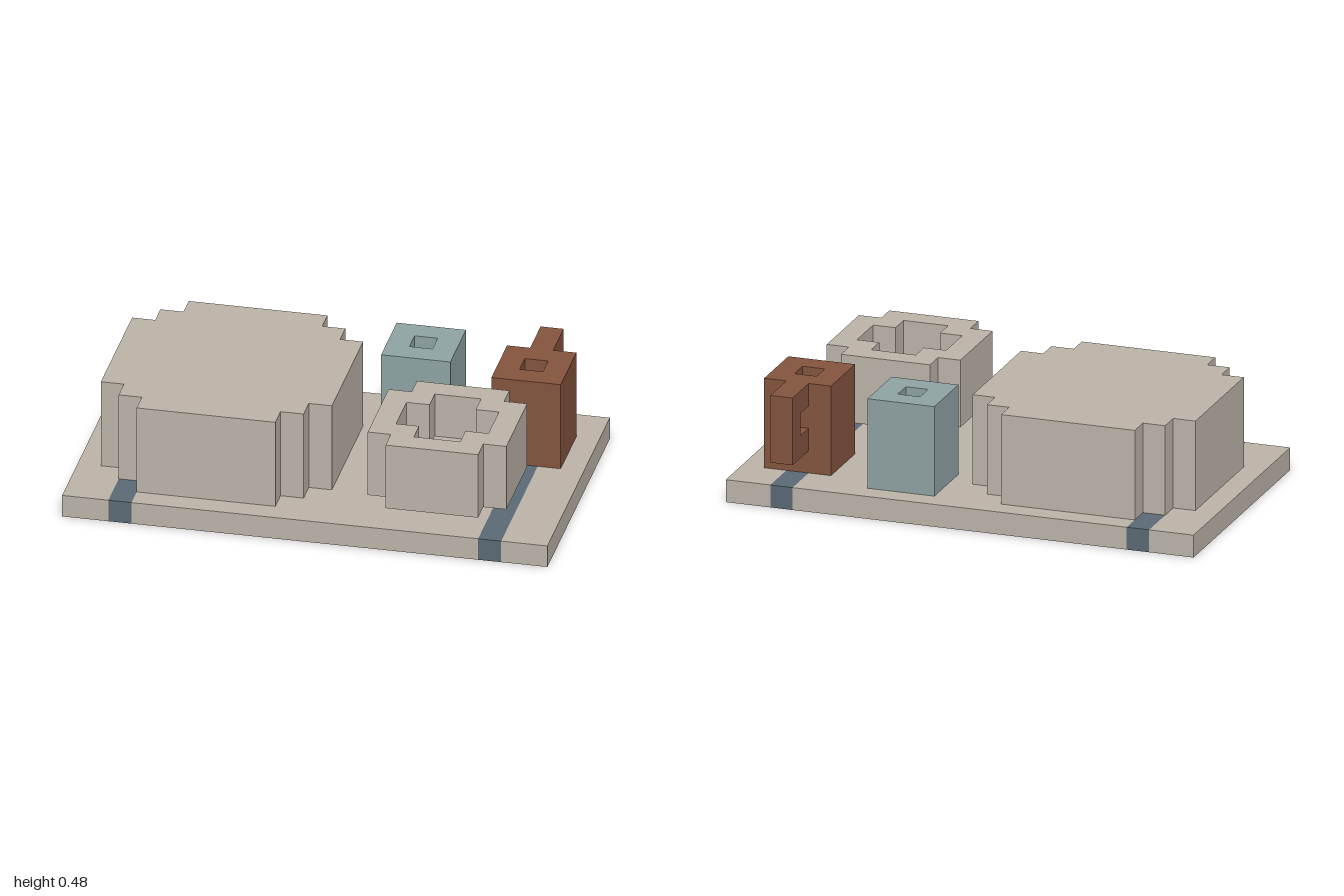
import * as THREE from 'three';

const U = 2 / 21; // one block of the 21 x 5 x 12 grid

const material = (name, color) => {
  const m = new THREE.MeshStandardMaterial({ color });
  m.name = name;
  return m;
};

// Outline symmetric about both axes, from its corner points in the +x +y quarter
function mirrored(quarter) {
  const back = [...quarter].reverse();
  return [
    ...quarter,
    ...back.map(([x, y]) => [-x, y]),
    ...quarter.map(([x, y]) => [-x, -y]),
    ...back.map(([x, y]) => [x, -y]),
  ].map(([x, y]) => new THREE.Vector2(x, y));
}

export function createModel() {
  const stone = material('stone', 0xbcb4a8);
  const slate = material('slate', 0x5a6a76);
  const teal = material('teal', 0x8fa3a4);
  const brown = material('brown', 0x84543f);

  const model = new THREE.Group();
  model.name = 'traySet';
  const grid = new THREE.Group();
  grid.name = 'blocks';
  grid.scale.setScalar(U);
  grid.position.set(-1, 0, -6 * U);
  model.add(grid);

  const add = (name, geometry, mat) => {
    const mesh = new THREE.Mesh(geometry, mat);
    mesh.name = name;
    grid.add(mesh);
  };

  // Box between two grid corners
  const box = (name, mat, [x0, y0, z0], [x1, y1, z1]) => {
    const g = new THREE.BoxGeometry(x1 - x0, y1 - y0, z1 - z0);
    g.translate((x0 + x1) / 2, (y0 + y1) / 2, (z0 + z1) / 2);
    add(name, g, mat);
  };

  // Upright prism around (cx, cz), with an optional opening
  const prism = (name, mat, [cx, cz], [y0, y1], quarter, hole) => {
    const shape = new THREE.Shape(mirrored(quarter));
    if (hole) shape.holes.push(new THREE.Path(mirrored(hole)));
    const g = new THREE.ExtrudeGeometry(shape, { depth: y1 - y0, bevelEnabled: false });
    g.rotateX(-Math.PI / 2);
    g.translate(cx, y0, cz);
    add(name, g, mat);
  };

  // Tray with two inlaid bands
  [[0, 2], [3, 18], [19, 21]].forEach(([a, b], i) =>
    box(`trayPanel${i + 1}`, stone, [a, 0, 0], [b, 1, 12]));
  [2, 18].forEach((x, i) =>
    box(`trayBand${i + 1}`, slate, [x, 0, 0], [x + 1, 1, 12]));

  // Large stepped round block
  prism('largeRound', stone, [6, 6], [1, 5], [[5, 3], [4, 3], [4, 4], [3, 4], [3, 5]]);

  // Bowl on a foot
  const bowl = [[3, 2], [2, 2], [2, 3]];
  box('bowlFoot', stone, [15, 1, 8], [17, 2, 10]);
  prism('bowlFloor', stone, [16, 9], [2, 3], bowl);
  prism('bowlWall', stone, [16, 9], [3, 5], bowl, [[2, 1], [1, 1], [1, 2]]);

  // Square cups
  const cup = (name, mat, centre) => {
    prism(`${name}Floor`, mat, centre, [1, 2], [[1.5, 1.5]]);
    prism(`${name}Wall`, mat, centre, [2, 5], [[1.5, 1.5]], [[0.5, 0.5]]);
  };
  cup('tealCup', teal, [13.5, 2.5]);
  cup('brownMug', brown, [18.5, 3.5]);

  // Mug handle
  box('handleGrip', brown, [18, 2, 0], [19, 5, 1]);
  box('handleLowerArm', brown, [18, 2, 1], [19, 3, 2]);
  box('handleUpperArm', brown, [18, 4, 1], [19, 5, 2]);

  return model;
}
